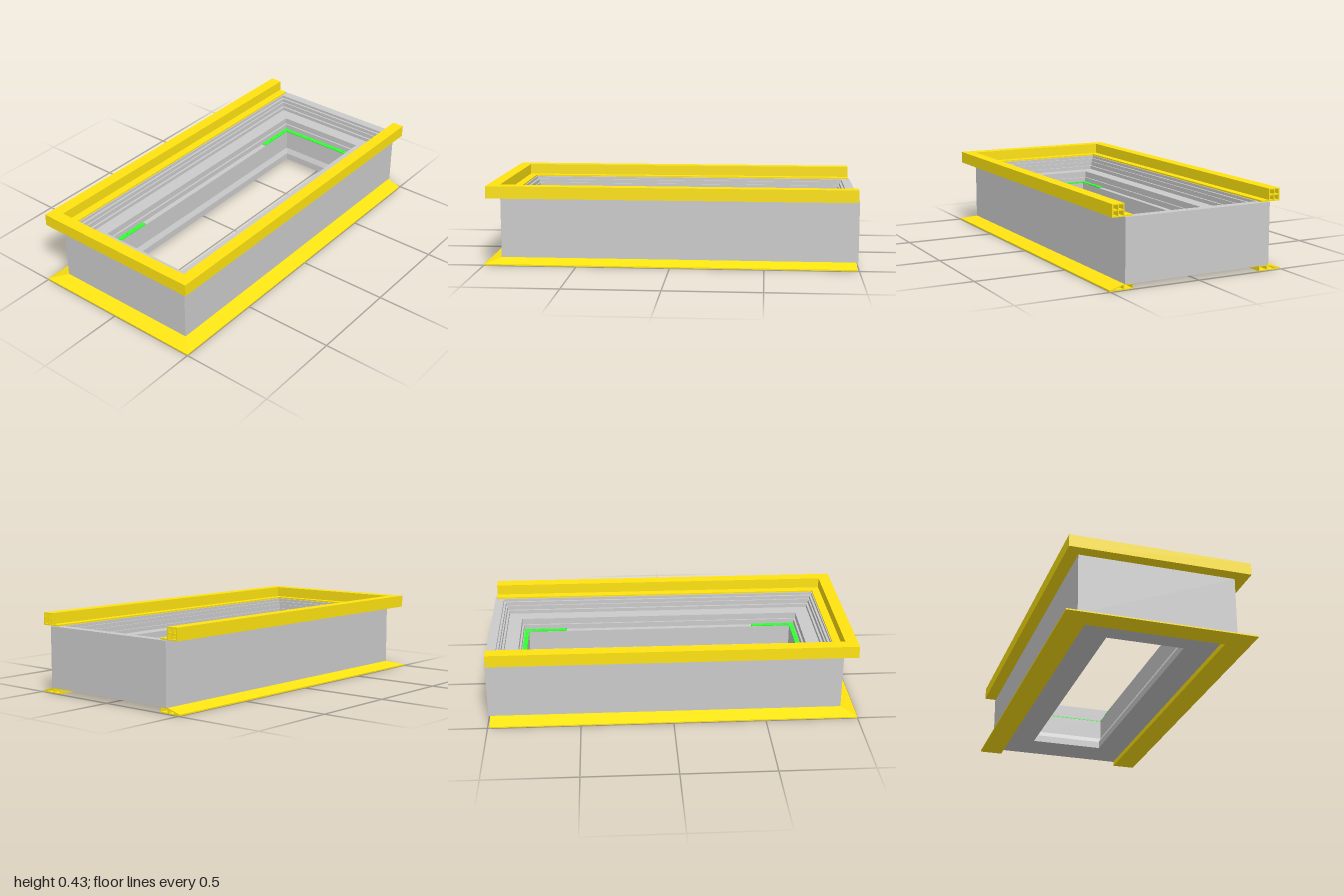
import * as THREE from 'three';

const yellow = new THREE.MeshStandardMaterial({ color: 0xffe411 });
const grey = new THREE.MeshStandardMaterial({ color: 0xcccccc });
const green = new THREE.MeshStandardMaterial({ color: 0x33ff33 });

// Body plan: half width, front and back faces
const HX = 0.42, FRONT = 0.92, BACK = -1, RAIL_BACK = -0.99;

const shapeOf = (pts) => new THREE.Shape(pts.map(([u, v]) => new THREE.Vector2(u, v)));

// Sweeps a section (u = distance outside the body face, v = height) round
// the plan with mitred corners: a closed ring, or a U open at the back.
function sweep(name, section, closed, material) {
  const steps = closed ? 4 : 3;
  let geo = new THREE.ExtrudeGeometry(section, { depth: steps, steps, bevelEnabled: false });
  if (closed) {
    // leave out the end caps of a closed ring
    const { start, count } = geo.groups[1];
    const sides = geo.attributes.position.array.slice(start * 3, (start + count) * 3);
    geo = new THREE.BufferGeometry();
    geo.setAttribute('position', new THREE.BufferAttribute(sides, 3));
  }
  const p = geo.attributes.position;
  for (let i = 0; i < p.count; i++) {
    const u = p.getX(i), k = Math.round(p.getZ(i)) % 4;
    const x = (k === 0 || k === 3 ? (k === 0 ? 1 : -1) : (k === 1 ? 1 : -1)) * (HX + u);
    const z = k === 1 || k === 2 ? FRONT + u : closed ? BACK - u : RAIL_BACK;
    p.setXYZ(i, x, p.getY(i), z);
  }
  geo.clearGroups();
  geo.computeVertexNormals();
  const mesh = new THREE.Mesh(geo, material);
  mesh.name = name;
  return mesh;
}

function addHole(shape, pts) {
  shape.holes.push(new THREE.Path(pts.map(([u, v]) => new THREE.Vector2(u, v))));
}

// U-shaped perforated strip lying on the inner ledge at one end
function cornerStrip(name, zEnd, zTip) {
  const s = Math.sign(zEnd - zTip), w = 0.026, X = 0.25;
  const zi = zEnd - s * w;
  const shape = shapeOf([[-X, -zEnd], [X, -zEnd], [X, -zTip], [X - w, -zTip],
    [X - w, -zi], [w - X, -zi], [w - X, -zTip], [-X, -zTip]]);
  const hole = (x, z) => {
    const h = new THREE.Path();
    h.absarc(x, -z, 0.005, 0, Math.PI * 2);
    shape.holes.push(h);
  };
  for (const m of [-1, 1]) {
    for (const x of [0.06, 0.125, 0.19]) hole(m * x, zEnd - s * w / 2);
    for (const d of [0.05, 0.11, 0.17]) hole(m * (X - w / 2), zEnd - s * d);
  }
  const geo = new THREE.ExtrudeGeometry(shape, { depth: 0.005, bevelEnabled: false, curveSegments: 4 });
  geo.rotateX(-Math.PI / 2);
  const mesh = new THREE.Mesh(geo, green);
  mesh.name = name;
  mesh.position.y = 0.215;
  return mesh;
}

export function createModel() {
  const model = new THREE.Group();
  model.name = 'steppedFrame';

  // Box frame with a stepped rebate and a sloped lower throat
  model.add(sweep('frameBody', shapeOf([
    [0, 0.03], [0, 0.36], [-0.05, 0.36], [-0.05, 0.345], [-0.062, 0.345],
    [-0.062, 0.325], [-0.07, 0.325], [-0.07, 0.3], [-0.082, 0.3], [-0.082, 0.28],
    [-0.158, 0.28], [-0.158, 0.245], [-0.168, 0.245], [-0.168, 0.215],
    [-0.197, 0.215], [-0.197, 0.1], [-0.211, 0.07], [-0.211, 0.03],
  ]), true, grey));

  // Upper rail: hollow box section with an inward lip
  const rail = shapeOf([[0.066, 0.361], [0.066, 0.427], [0, 0.427], [0, 0.369],
    [-0.045, 0.369], [-0.045, 0.361]]);
  for (const u of [0.006, 0.036])
    for (const v of [0.367, 0.397])
      addHole(rail, [[u, v], [u + 0.024, v], [u + 0.024, v + 0.024], [u, v + 0.024]]);
  model.add(sweep('upperRail', rail, false, yellow));

  // Lower flange: hollow wedge reaching under the body
  const flange = shapeOf([[0.08, 0], [0.08, 0.007], [0, 0.029], [-0.05, 0.029], [-0.05, 0]]);
  addHole(flange, [[0.045, 0.005], [0.045, 0.011], [0.004, 0.023], [0.004, 0.005]]);
  addHole(flange, [[-0.002, 0.005], [-0.002, 0.024], [-0.045, 0.024], [-0.045, 0.005]]);
  model.add(sweep('lowerFlange', flange, false, yellow));

  // Perforated strips on the inner ledge
  model.add(cornerStrip('frontLedgeStrip', 0.748, 0.5));
  model.add(cornerStrip('backLedgeStrip', -0.828, -0.585));

  return model;
}
